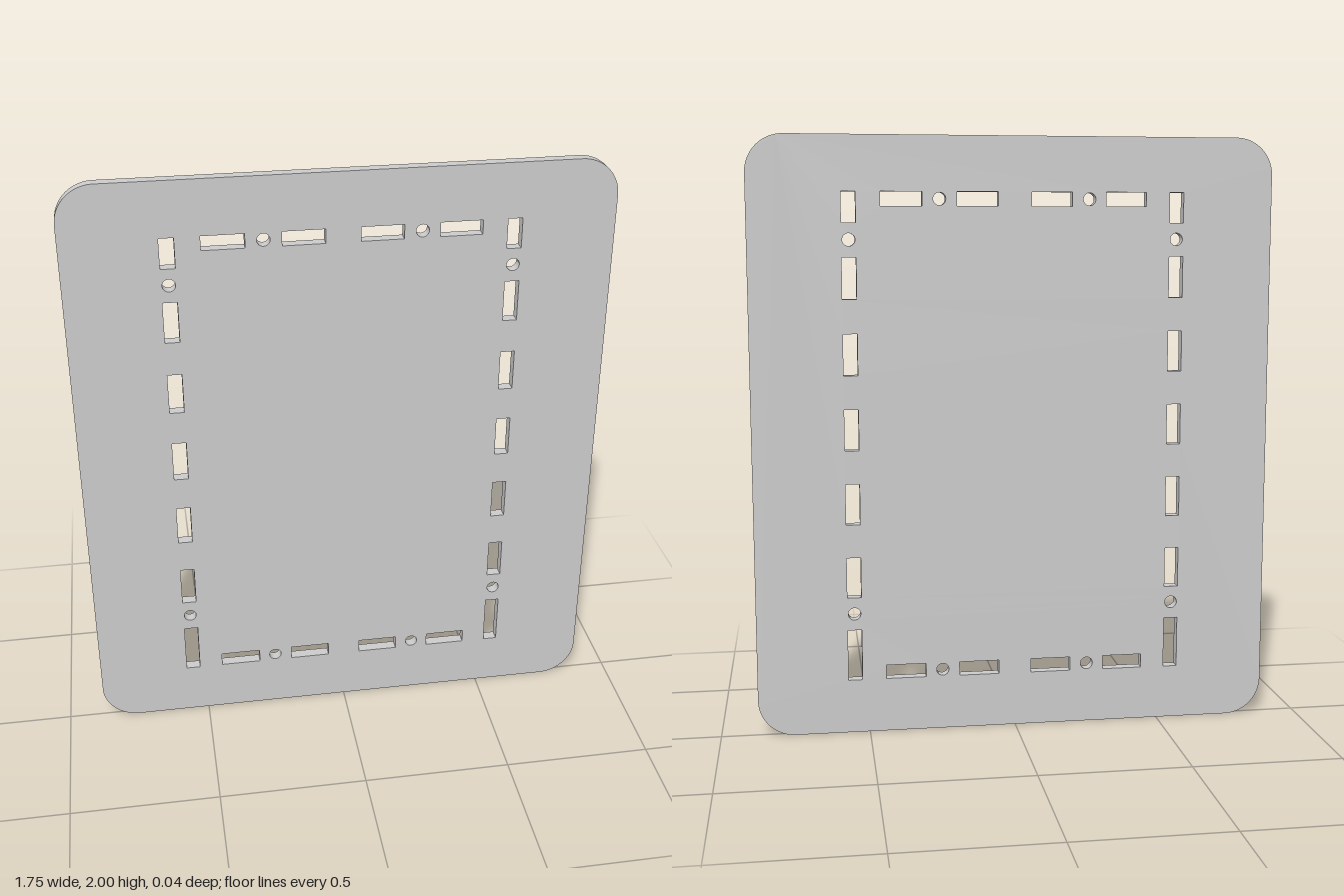
import * as THREE from 'three';

const HALF_W = 0.875, HEIGHT = 2, RADIUS = 0.125, DEPTH = 0.0375;
const SLOT = 0.047, HOLE_R = 0.021;

function rectHole(x0, x1, y0, y1) {
  return new THREE.Path([[x0, y0], [x0, y1], [x1, y1], [x1, y0], [x0, y0]]
    .map(([x, y]) => new THREE.Vector2(x, y)));
}

function roundHole(x, y) {
  return new THREE.Path().absarc(x, y, HOLE_R, 0, Math.PI * 2, true);
}

export function createModel() {
  // Plate outline with rounded corners
  const outline = new THREE.Shape();
  const cx = HALF_W - RADIUS, top = HEIGHT - RADIUS, q = Math.PI / 2;
  outline.absarc(cx, RADIUS, RADIUS, -q, 0);
  outline.absarc(cx, top, RADIUS, 0, q);
  outline.absarc(-cx, top, RADIUS, q, 2 * q);
  outline.absarc(-cx, RADIUS, RADIUS, 2 * q, 3 * q);
  outline.closePath();

  // Vertical slots: shorter at the top, longer at the bottom
  const rows = [[1.718, 1.818], [0.183, 0.357]];
  for (let i = 0; i < 5; i++) rows.push([0.469 + i * 0.25, 0.606 + i * 0.25]);

  for (const side of [-1, 1]) {
    const x = side * 0.547;
    for (const [y0, y1] of rows) outline.holes.push(rectHole(x - SLOT / 2, x + SLOT / 2, y0, y1));
    for (const y of [0.413, 1.663]) outline.holes.push(roundHole(x, y));

    // Horizontal slots and their screw holes along the top and bottom
    for (const y of [0.207, 1.795]) {
      for (const c of [0.124, 0.375]) {
        const m = side * c;
        outline.holes.push(rectHole(m - 0.068, m + 0.068, y - SLOT / 2, y + SLOT / 2));
      }
      outline.holes.push(roundHole(side * 0.25, y));
    }
  }

  const geometry = new THREE.ExtrudeGeometry(outline, { depth: DEPTH, bevelEnabled: false, curveSegments: 16 });
  geometry.translate(0, 0, -DEPTH / 2);

  const plate = new THREE.Mesh(geometry, new THREE.MeshStandardMaterial({ color: 0xcccccc }));
  plate.name = 'slottedPlate';
  const group = new THREE.Group();
  group.name = 'slottedPanel';
  group.add(plate);
  return group;
}
